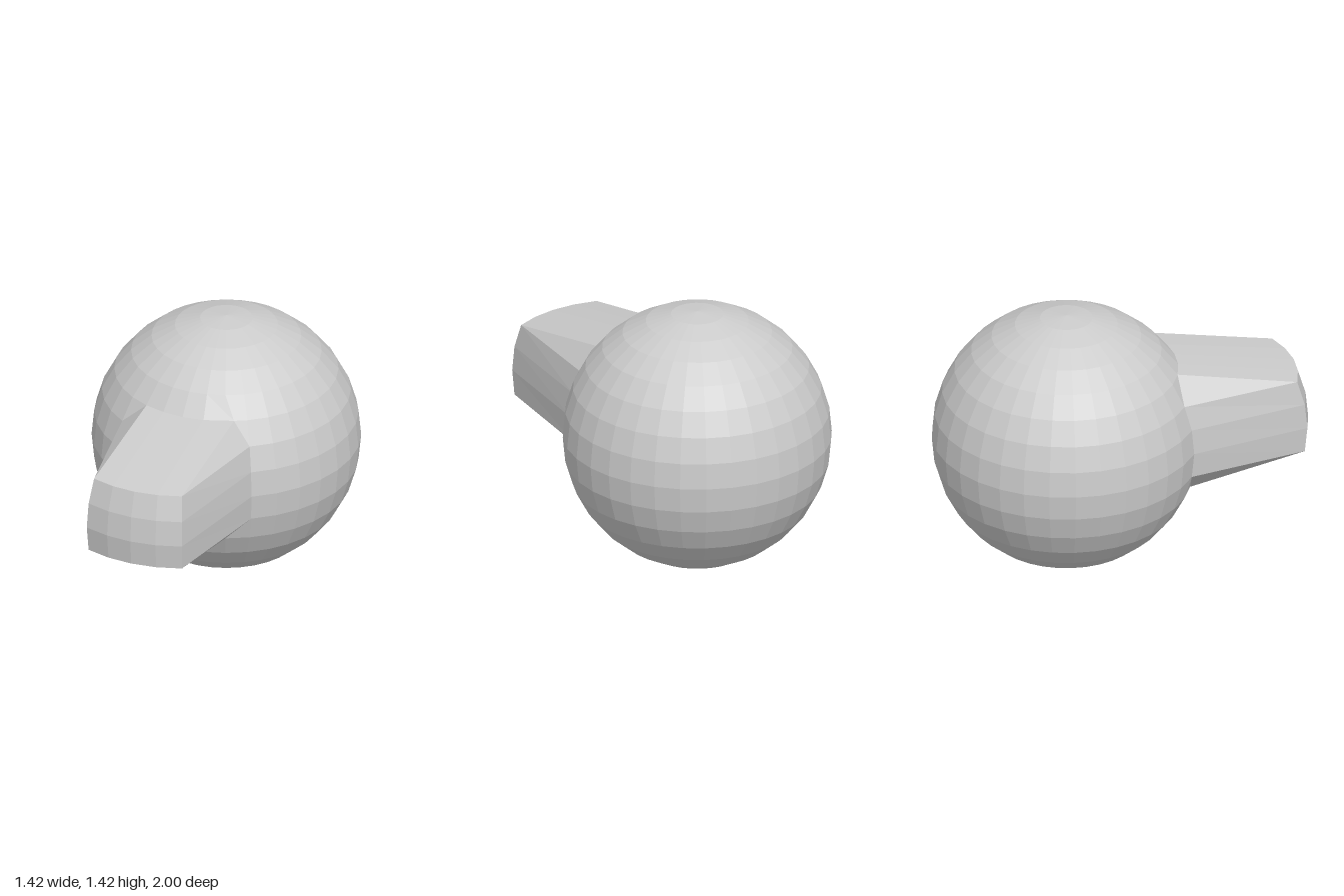
import * as THREE from 'three';

const R = 0.708, CY = 0.711, CZ = -0.292, COLS = 32, ROWS = 16, REACH = 0.584;

export function createModel() {
  const group = new THREE.Group();

  // Faceted ball: a grid of latitude rows and longitude columns, column 8 faces the front
  const geo = new THREE.SphereGeometry(R, COLS, ROWS);
  const pos = geo.attributes.position;
  const id = (row, col) => row * (COLS + 1) + col;

  // Snout: a patch of the grid pulled straight forward, keeping its rounded end
  for (let row = 6; row <= 9; row++) {
    for (let col = 6; col <= 10; col++) {
      const i = id(row, col);
      pos.setZ(i, pos.getZ(i) + REACH);
    }
  }
  // The upper left root corner of the snout is slightly wider
  pos.setX(id(5, 10), 0.265);
  pos.setZ(id(5, 10), 0.523);

  // Faces, with the diagonal turned at two corners so that all four snout corners are chamfered
  const turned = [[5, 5], [9, 10]];
  const index = [];
  for (let row = 0; row < ROWS; row++) {
    for (let col = 0; col < COLS; col++) {
      const a = id(row, col + 1), b = id(row, col);
      const c = id(row + 1, col), d = id(row + 1, col + 1);
      if (turned.some(([r, k]) => r === row && k === col)) {
        index.push(a, b, c, a, c, d);
      } else {
        if (row > 0) index.push(a, b, d);
        if (row < ROWS - 1) index.push(b, c, d);
      }
    }
  }
  geo.setIndex(index);
  const flat = geo.toNonIndexed();
  flat.computeVertexNormals();

  const body = new THREE.Mesh(flat, new THREE.MeshStandardMaterial({ color: 0xcccccc, flatShading: true }));
  body.name = 'ballWithSnout';
  body.position.set(0, CY, CZ);
  group.add(body);
  return group;
}
